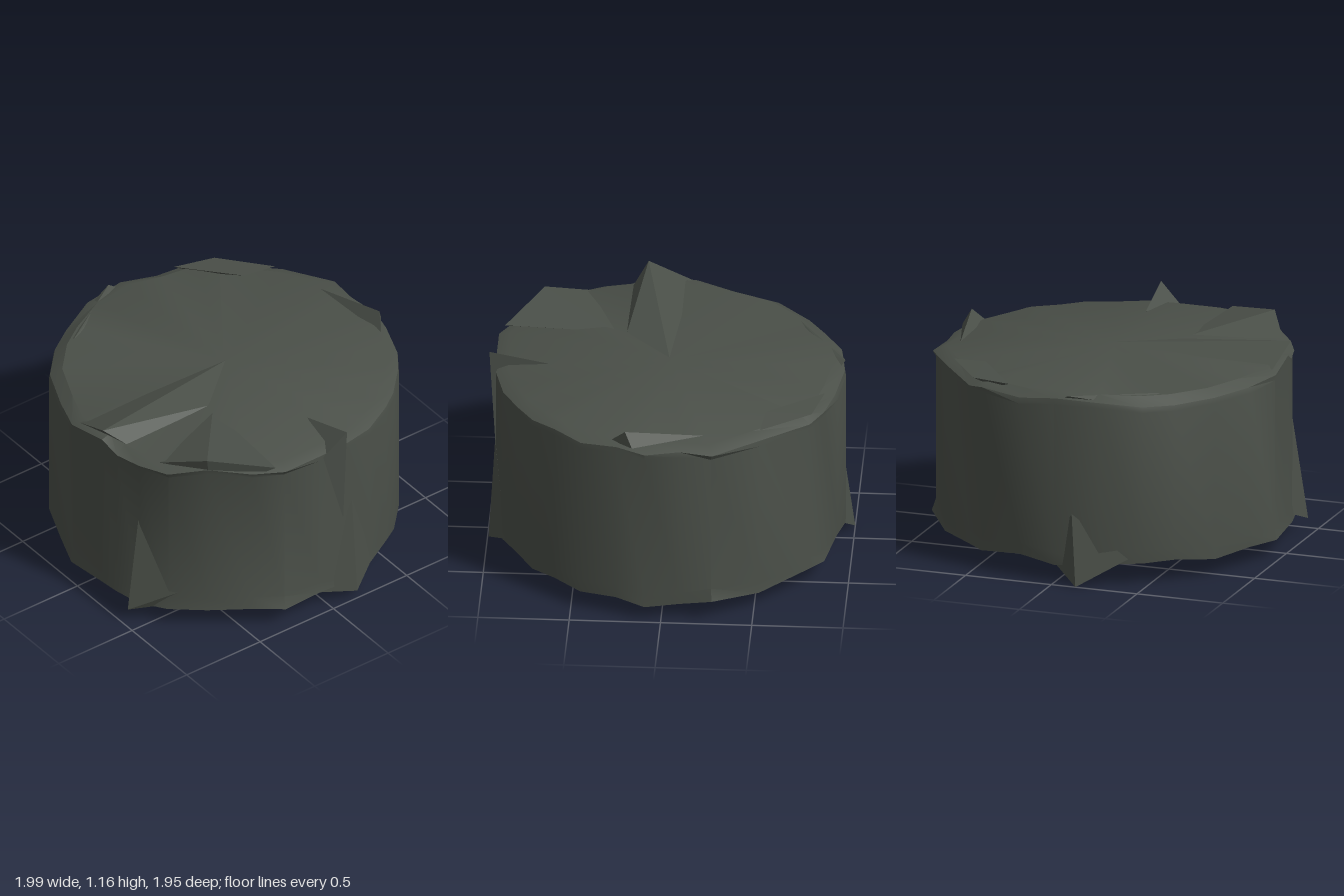
import * as THREE from 'three';
import { toCreasedNormals } from 'three/addons/utils/BufferGeometryUtils.js';
import { ConvexGeometry } from 'three/addons/geometries/ConvexGeometry.js';

// Rim outline, going round from +x towards +z: x, z, top height, bottom height
const RIM = [
  [0.97, 0.06, 1.05, 0.12], [0.97, 0.30, 1.05, 0.11], [0.88, 0.46, 1.05, 0.13], [0.73, 0.66, 1.08, 0.12],
  [0.58, 0.82, 1.03, 0.11], [0.42, 0.90, 1.03, 0.09], [0.27, 0.94, 1.03, 0.10], [0.16, 0.96, 1.08, 0.11],
  [-0.09, 0.98, 1.04, 0.10], [-0.30, 0.90, 1.02, 0.11], [-0.55, 0.79, 1.02, 0.10], [-0.73, 0.62, 1.01, 0.13],
  [-0.83, 0.47, 1.01, 0.12], [-0.93, 0.25, 1.04, 0.12], [-0.96, 0.00, 1.05, 0.10], [-0.92, -0.22, 1.02, 0.13],
  [-0.87, -0.46, 1.04, 0.11], [-0.80, -0.56, 1.02, 0.12], [-0.53, -0.80, 1.04, 0.09], [-0.28, -0.97, 1.03, 0.12],
  [-0.10, -0.95, 1.04, 0.09], [0.09, -0.98, 1.03, 0.08], [0.25, -0.93, 1.05, 0.11], [0.45, -0.86, 1.03, 0.10],
  [0.60, -0.75, 1.05, 0.12], [0.73, -0.62, 1.03, 0.10], [0.82, -0.50, 1.04, 0.13], [0.91, -0.32, 1.03, 0.11],
  [0.96, -0.14, 1.05, 0.10],
];

// Jagged slivers standing proud of the block, each the hull of a few corners
const SHARDS = {
  topRidge: [[0.01, 1.1, 0], [0.18, 1.16, 0.96], [0.26, 1.08, 0.3], [0.26, 1.06, 0.85], [-0.06, 1.06, 0.94]],
  topSpikeLeft: [[0.99, 1.16, -0.1], [0.955, 0.55, -0.1], [0.67, 1.08, -0.07], [0.96, 1.03, 0.04]],
  topSpikeFront: [[0.73, 1.15, 0.66], [0.93, 1.08, 0.34], [0.42, 1.03, 0.84], [0.3, 1.08, 0.3], [0.71, 0.9, 0.62]],
  frontSpike: [[0.4, 0.75, 0.87], [0.42, 0.08, 0.97], [0.34, 0.12, 0.89], [0.72, 0.3, 0.63], [0.6, 0.12, 0.7]],
  bottomSpikeRight: [[-0.95, 0.4, 0.1], [-1, 0, 0.14], [-0.9, 0.14, -0.06], [-0.87, 0.15, 0.4], [-0.7, 0.12, 0.12]],
  bottomSpikeLeft: [[0.99, 0.04, -0.17], [0.955, 0.65, -0.16], [0.89, 0.13, -0.35], [0.93, 0.12, 0.12]],
  backChip: [[0.2, 1.14, -0.91], [0.28, 1.06, -0.86], [-0.22, 1.08, -0.82], [0.16, 1.06, -0.95]],
  backRightChip: [[-0.86, 1.075, -0.3], [-0.8, 1.07, -0.53], [-0.55, 1.09, -0.55], [-0.53, 1.08, -0.74], [-0.8, 1.03, -0.4]],
  rightChip: [[-0.95, 1.07, 0.08], [-0.87, 1.06, 0.16], [-0.68, 1.06, 0.52], [-0.84, 1.02, 0.4], [-0.9, 1.03, 0]],
};

// Closed surface through rings of equal length, ordered bottom to top;
// the first and last rings are single points
function loft(rings) {
  const n = rings[0].length;
  const last = rings.length - 2;
  const index = [];
  for (let r = 0; r <= last; r++) {
    for (let i = 0; i < n; i++) {
      const a = r * n + i;
      const b = r * n + (i + 1) % n;
      if (r === last) index.push(a, a + n, b);
      else index.push(a, a + n, b + n);
      if (r > 0 && r < last) index.push(a, b + n, b);
    }
  }
  const geometry = new THREE.BufferGeometry();
  geometry.setAttribute('position', new THREE.Float32BufferAttribute(rings.flat(2), 3));
  geometry.setIndex(index);
  return toCreasedNormals(geometry, 0.5);
}

export function createModel() {
  const group = new THREE.Group();
  const stone = new THREE.MeshStandardMaterial({ color: 0x4a4f48 });
  stone.name = 'dark grey stone';

  // Wall ring, halfway between the broken outline and a true circle
  const wall = (height) => RIM.map(([x, z, top, bottom]) => {
    const s = 0.5 + 0.477 / Math.hypot(x, z);
    return [x * s, height(top, bottom), z * s];
  });
  // Ring that follows the broken outline at a given scale
  const outline = (s, height) => RIM.map(([x, z, top, bottom]) => [x * s, height(top, bottom), z * s]);

  // Squat round block with broken, bevelled rims
  const block = new THREE.Mesh(loft([
    RIM.map(() => [0, 0.12, 0]),
    outline(0.88, () => 0.12),
    outline(0.995, (top, bottom) => bottom),
    wall((top, bottom) => bottom + 0.07),
    wall((top) => top - 0.03),
    outline(0.99, (top) => top),
    outline(0.92, (top) => top * 0.5 + 0.55),
    RIM.map(() => [0, 1.085, 0]),
  ]), stone);
  block.name = 'stoneBlock';
  group.add(block);

  // Shards along the rims and sides
  for (const [name, corners] of Object.entries(SHARDS)) {
    const shard = new THREE.Mesh(new ConvexGeometry(corners.map((c) => new THREE.Vector3(...c))), stone);
    shard.name = name;
    group.add(shard);
  }
  return group;
}
